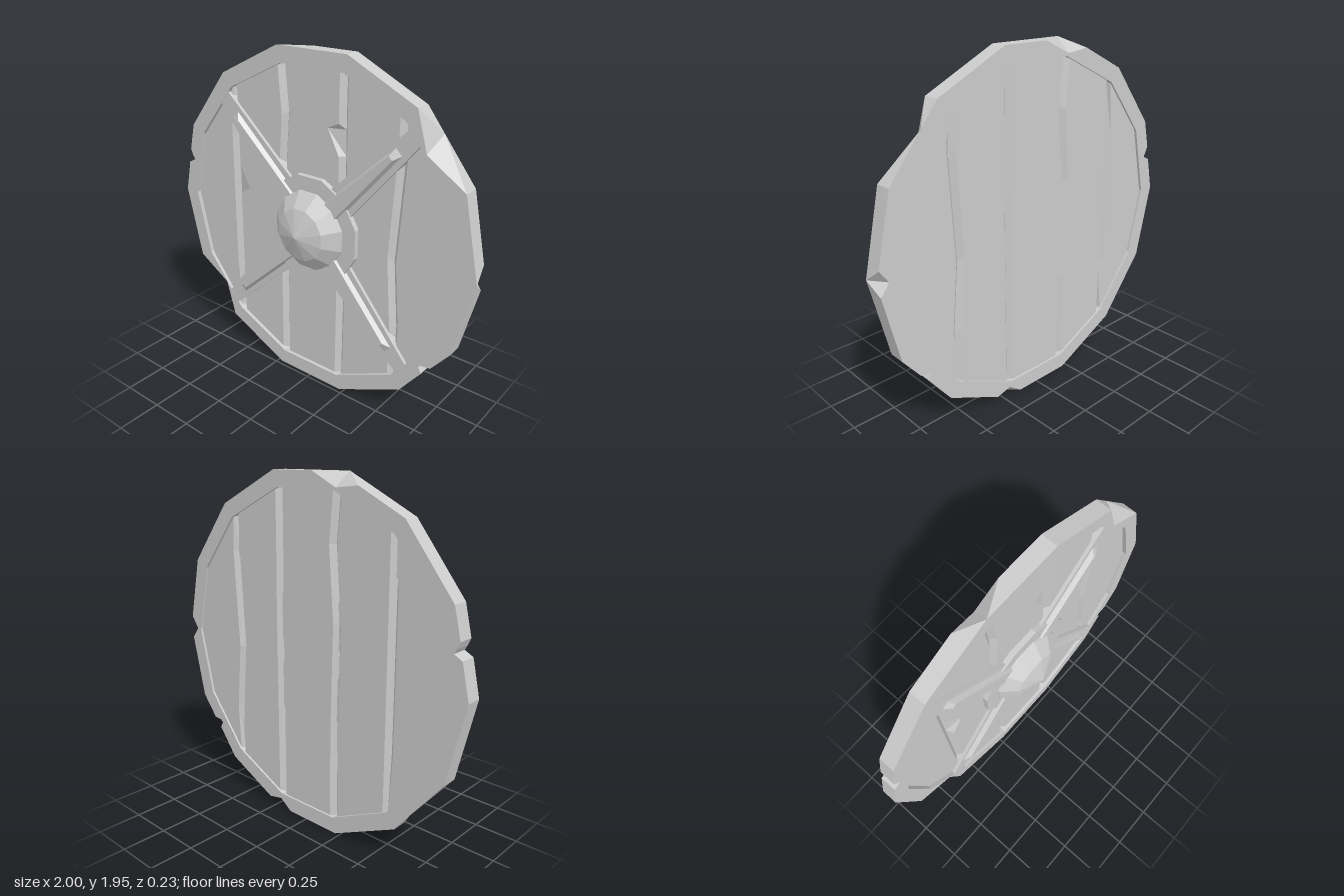
import * as THREE from 'three';

const CY = 0.976;               // height of the shield centre
const FRONT = -0.025, BACK = -0.115;

const makeMaterial = () => new THREE.MeshStandardMaterial({ color: 0xcccccc, flatShading: true });

function addMesh(group, name, geometry) {
  const mesh = new THREE.Mesh(geometry, makeMaterial());
  mesh.name = name;
  group.add(mesh);
  return mesh;
}

// Triangle soup builder
function soup() {
  const data = [];
  const tri = (a, b, c) => data.push(...a, ...b, ...c);
  return {
    tri,
    quad: (a, b, c, d) => { tri(a, b, c); tri(a, c, d); },
    geometry() {
      const g = new THREE.BufferGeometry();
      g.setAttribute('position', new THREE.Float32BufferAttribute(data, 3));
      g.computeVertexNormals();
      return g;
    },
  };
}

// Corner k of a regular 14-sided outline
const corner = (k, r = 1) => {
  const a = (k * Math.PI * 2) / 14;
  return [Math.cos(a) * r, CY + Math.sin(a) * r];
};

// Rim: a 14-sided ring; each outline entry is [x, y] or [frontX, frontY, backX, backY]
function rimGeometry() {
  const outline = [
    [0.984, 0.91], [1, CY, 0.935, CY], [0.984, 1.045], corner(1),
    [0.685, 1.55, 0.72, 1.637], corner(2), corner(3),
    [-0.05, 1.951], [-0.222, 1.951, -0.21, 1.875], [-0.35, 1.89], corner(5), corner(6),
    [-0.94, 1.25], [-0.925, 1.215], [-0.91, 1.19], [-0.957, 1.165], corner(7), corner(8),
    [-0.685, 0.41, -0.715, 0.31], corner(9), corner(10),
    [0.13, 0.001], [0.222, 0.001, 0.21, 0.06], [0.30, 0.038], corner(12),
    [0.75, 0.36], [0.73, 0.395], [0.745, 0.41], [0.80, 0.415], corner(13),
  ];
  const front = outline.map((p) => new THREE.Vector2(p[0], p[1]));
  const back = outline.map((p) => new THREE.Vector2(p[2] ?? p[0], p[3] ?? p[1]));
  const hole = Array.from({ length: 14 }, (_, k) => new THREE.Vector2(...corner(14 - k, 0.907)));
  const at = (p, z) => [p.x, p.y, z];
  const s = soup();

  // front and back faces
  [[front, FRONT], [back, BACK]].forEach(([loop, z]) => {
    const all = [...loop, ...hole];
    THREE.ShapeUtils.triangulateShape(loop, [hole]).forEach((f) => {
      let [a, b, c] = f.map((i) => all[i]);
      const ccw = (b.x - a.x) * (c.y - a.y) - (b.y - a.y) * (c.x - a.x) > 0;
      if (ccw !== (z === FRONT)) [b, c] = [c, b];
      s.tri(at(a, z), at(b, z), at(c, z));
    });
  });

  // outer wall, split along the diagonal lying further out so chips stay crisp
  const reach = (a, b) => Math.hypot(a.x + b.x, a.y + b.y - 2 * CY);
  front.forEach((f0, i) => {
    const j = (i + 1) % front.length;
    const A = at(f0, FRONT), B = at(back[i], BACK), C = at(back[j], BACK), D = at(front[j], FRONT);
    if (reach(f0, back[j]) > reach(back[i], front[j])) s.quad(A, B, C, D);
    else s.quad(B, C, D, A);
  });

  // inner wall
  hole.forEach((p, i) => {
    const q = hole[(i + 1) % 14];
    s.quad(at(p, FRONT), at(p, BACK), at(q, BACK), at(q, FRONT));
  });
  return s.geometry();
}

// Plank seams from top to bottom, five points each
const seams = [
  [5, 6, 7, 8, 9].map((k) => corner(k, 0.93)),
  [[-0.565, 1.70], [-0.565, 1.4], [-0.565, 0.98], [-0.565, 0.6], [-0.565, 0.25]],
  [[-0.21, 1.87], [-0.185, 1.6], [-0.215, 1.2], [-0.2, 0.6], [-0.2, 0.08]],
  [[0.195, 1.87], [0.195, 1.6], [0.2, 1.2], [0.2, 0.6], [0.2, 0.08]],
  [[0.55, 1.70], [0.55, 1.5], [0.52, 0.93], [0.555, 0.55], [0.56, 0.25]],
  [2, 1, 0, -1, -2].map((k) => corner(k, 0.93)),
];

function along(seam, t) {
  const i = Math.min(3, Math.floor(t));
  return seam[i].map((v, n) => v + (seam[i + 1][n] - v) * (t - i));
}

// Plank: bevelled on both faces, with optional nicks {t, left, right} in its front edges
function plankGeometry(left, right, nick) {
  const ts = [0, 1, 2, 3, 4];
  if (nick) ts.push(nick.t - 0.4, nick.t, nick.t + 0.35);
  ts.sort((a, b) => a - b);
  const zFront = -0.045, zMid = -0.075, zBack = -0.103;
  const rows = ts.map((t) => {
    const L = along(left, t), R = along(right, t);
    const width = R[0] - L[0];
    const bevel = Math.min(0.027, width * 0.45);
    const here = nick && t === nick.t ? nick : {};
    const point = (d, z) => [L[0] + d, L[1] + ((R[1] - L[1]) * d) / width, z];
    return [
      point(0, zMid), point(bevel + (here.left ?? 0), zFront),
      point(width - bevel - (here.right ?? 0), zFront), point(width, zMid),
      point(width - bevel, zBack), point(bevel, zBack),
    ];
  });
  const s = soup();
  for (let r = 0; r < rows.length - 1; r++) {
    for (let i = 0; i < 6; i++) {
      const j = (i + 1) % 6;
      s.quad(rows[r][i], rows[r + 1][i], rows[r + 1][j], rows[r][j]);
    }
  }
  return s.geometry();
}

// Tapered bar along +x: widths w0 to w1, top face pulled in by the given amounts
function taperedBar(x0, x1, w0, w1, z0, z1, insetSide = 0, insetEnd = 0) {
  const g = new THREE.BoxGeometry(1, 1, 1);
  const p = g.attributes.position;
  for (let i = 0; i < p.count; i++) {
    const outer = p.getX(i) > 0, top = p.getZ(i) > 0;
    const half = (outer ? w1 : w0) / 2 - (top ? insetSide : 0);
    p.setXYZ(i, outer ? x1 - (top ? insetEnd : 0) : x0, Math.sign(p.getY(i)) * half, top ? z1 : z0);
  }
  g.computeVertexNormals();
  return g;
}

// Twelve-sided turned part facing +z
function turned(profile) {
  const points = profile.map(([r, h]) => new THREE.Vector2(r, h));
  return new THREE.LatheGeometry(points, 12, Math.PI / 12).rotateX(Math.PI / 2).translate(0, CY, 0);
}

export function createModel() {
  const model = new THREE.Group();
  model.name = 'roundShield';

  addMesh(model, 'rim', rimGeometry());

  const nicks = { 1: { t: 1.85, left: 0.07 }, 2: { t: 1.08, right: 0.07 } };
  const planks = new THREE.Group();
  planks.name = 'planks';
  for (let i = 0; i < 5; i++) {
    addMesh(planks, `plank${i + 1}`, plankGeometry(seams[i], seams[i + 1], nicks[i]));
  }
  model.add(planks);

  // Four diagonal braces, each a flat strap carrying a raised ridge
  [46, 134, 226, 314].forEach((degrees, i) => {
    const brace = new THREE.Group();
    brace.name = `brace${i + 1}`;
    addMesh(brace, 'strap', taperedBar(0.1, 0.9, 0.21, 0.09, -0.08, FRONT - 0.001));
    addMesh(brace, 'ridge', taperedBar(0.15, 0.78, 0.13, 0.055, FRONT - 0.005, 0, 0.014, 0.05));
    brace.position.y = CY;
    brace.rotation.z = THREE.MathUtils.degToRad(degrees);
    model.add(brace);
  });

  addMesh(model, 'bossPlate', turned([[0.32, -0.06], [0.32, -0.014], [0, -0.014]]));
  addMesh(model, 'boss', turned([[0.236, -0.03], [0.232, -0.005], [0.152, 0.067], [0, 0.115]]));
  return model;
}
